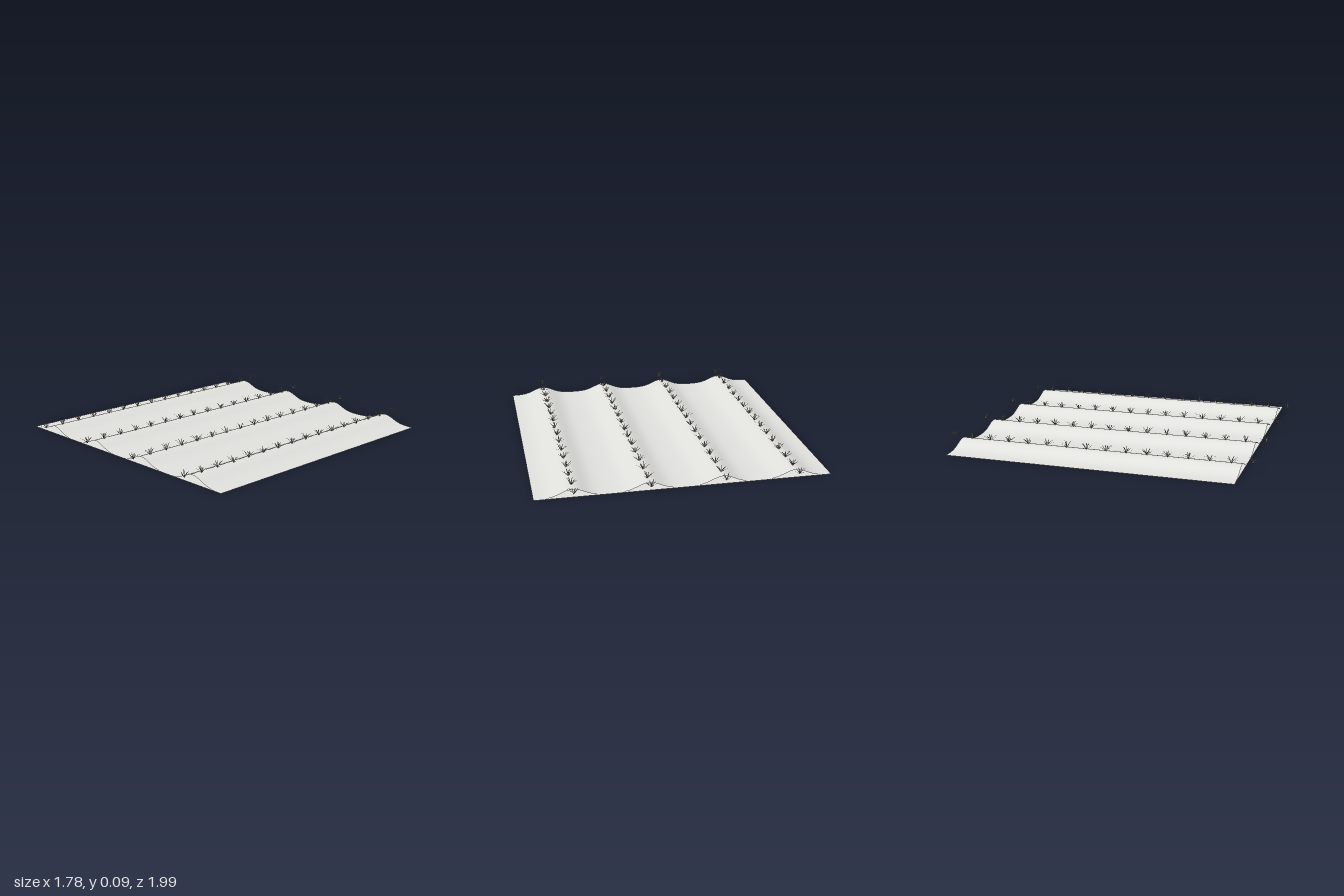
import * as THREE from 'three';
import { mergeGeometries } from 'three/addons/utils/BufferGeometryUtils.js';

const HALF = 0.89;                        // half side of the field
const ROWS = [-0.667, -0.222, 0.222, 0.667];
const PLANTS = 16, SPACING = 0.127, RIDGE = 0.048;

// Height of the soil: one smooth ridge under each planted row
const soilHeight = x => ROWS.reduce(
  (h, r) => h + RIDGE * Math.exp(-((x - r) ** 2) / (2 * 0.066 ** 2)), 0.001);

// Small seeded generator for natural variation
function seeded(seed) {
  return () => {
    seed = (seed * 1664525 + 1013904223) % 4294967296;
    return seed / 4294967296;
  };
}

// Narrow pointed leaf that rises from the origin and arches outward along +x
function blade(length, rise, width) {
  const g = new THREE.PlaneGeometry(1, 1, 3, 1);
  const p = g.attributes.position;
  for (let i = 0; i < p.count; i++) {
    const t = p.getX(i) + 0.5;
    const w = width * (0.2 + 0.8 * Math.sin(Math.PI * t)) * (t > 0.99 ? 0 : 1);
    p.setXYZ(i, length * t, rise * Math.sin(t * 1.4), -p.getY(i) * w);
  }
  g.computeVertexNormals();
  return g;
}

export function createModel() {
  const soil = new THREE.MeshStandardMaterial({ color: 0xe1e1de, side: THREE.DoubleSide });
  soil.name = 'pale soil';
  const leaf = new THREE.MeshStandardMaterial({ color: 0x9c957f, side: THREE.DoubleSide });
  leaf.name = 'grey olive leaf';
  const dry = new THREE.MeshStandardMaterial({ color: 0xa88a64, side: THREE.DoubleSide });
  dry.name = 'dry brown leaf';

  const model = new THREE.Group();
  model.name = 'plantedField';
  const add = (geometry, material, name, parent = model) => {
    const mesh = new THREE.Mesh(geometry, material);
    mesh.name = name;
    parent.add(mesh);
  };

  // Ridged soil surface, open at both ends
  const ground = new THREE.PlaneGeometry(2 * HALF, 2 * HALF, 160, 1).rotateX(-Math.PI / 2);
  const p = ground.attributes.position;
  for (let i = 0; i < p.count; i++) p.setY(i, soilHeight(p.getX(i)));
  ground.computeVertexNormals();
  add(ground, soil, 'ridgedSoil');

  // Flat underside
  add(new THREE.PlaneGeometry(2 * HALF, 2 * HALF).rotateX(Math.PI / 2), soil, 'fieldBase');

  // Rows of leafy tufts, the outermost ones just past the field edges
  const random = seeded(7);
  ROWS.forEach((x, r) => {
    const row = new THREE.Group();
    row.name = 'plantRow' + (r + 1);
    model.add(row);
    const green = [], brown = [];
    for (let i = 0; i < PLANTS; i++) {
      const z = (i - (PLANTS - 1) / 2) * SPACING;
      const turn = random() * Math.PI;
      const count = 10;
      for (let k = 0; k < count; k++) {
        const outer = k % 3 !== 0;
        const length = outer ? 0.032 + 0.016 * random() : 0.018 + 0.012 * random();
        const rise = outer ? 0.02 + 0.02 * random() : 0.03 + 0.012 * random();
        const g = blade(length, rise, 0.005)
          .rotateY(turn + (k + 0.6 * random()) * 2 * Math.PI / count)
          .translate(x, RIDGE, z);
        (k % 4 === 3 ? brown : green).push(g);
      }
    }
    add(mergeGeometries(green), leaf, 'greenLeaves', row);
    add(mergeGeometries(brown), dry, 'dryLeaves', row);
  });

  return model;
}
